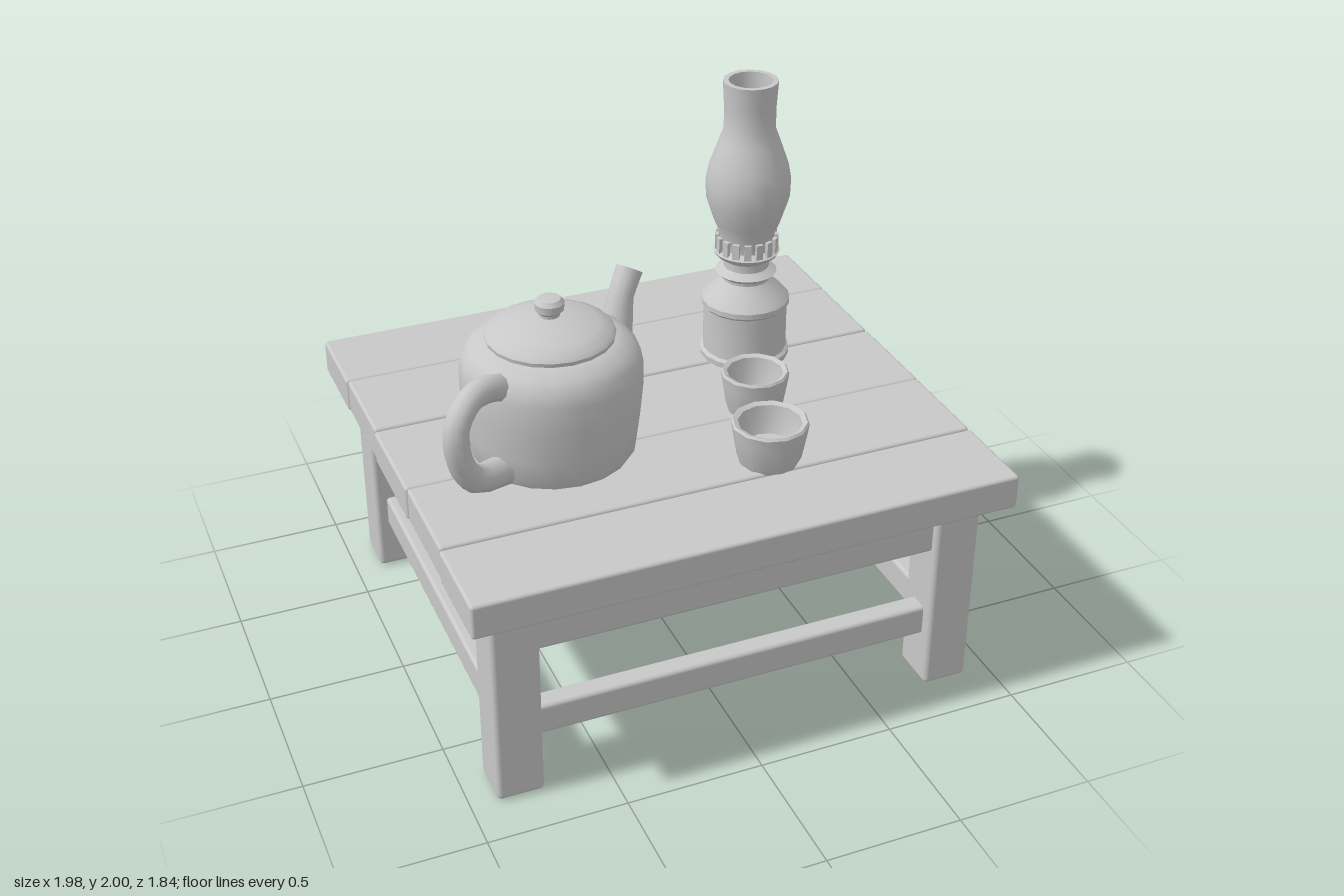
import * as THREE from 'three';
import { toCreasedNormals } from 'three/addons/utils/BufferGeometryUtils.js';
import { RoundedBoxGeometry } from 'three/addons/geometries/RoundedBoxGeometry.js';

export function createModel() {
  const model = new THREE.Group();
  const clay = new THREE.MeshStandardMaterial({ color: 0xc8c8c8 });
  clay.name = 'plain grey';

  const add = (parent, name, geometry, x = 0, y = 0, z = 0) => {
    const mesh = new THREE.Mesh(geometry, clay);
    mesh.name = name;
    mesh.position.set(x, y, z);
    parent.add(mesh);
    return mesh;
  };
  const group = (name, x, y, z) => {
    const g = new THREE.Group();
    g.name = name;
    g.position.set(x, y, z);
    model.add(g);
    return g;
  };
  const box = (w, h, d, r = 0.015) => new RoundedBoxGeometry(w, h, d, 2, r);
  const lathe = (profile, sides) => toCreasedNormals(
    new THREE.LatheGeometry(profile.map(([r, y]) => new THREE.Vector2(r, y)), sides), 0.6);

  // Tapered tube in a vertical plane: stations are [distance, height, radius].
  // With a lip, the far end folds back inside to make an opening.
  function sweep(stations, angle, lip, sides = 10) {
    const curve = new THREE.CatmullRomCurve3(stations.map(([d, y]) => new THREE.Vector3(d, y, 0)));
    const steps = (stations.length - 1) * 3;
    const rings = [];
    for (let i = 0; i <= steps; i++) {
      const t = i / steps, k = t * (stations.length - 1), a = Math.min(Math.floor(k), stations.length - 2);
      const r = THREE.MathUtils.lerp(stations[a][2], stations[a + 1][2], k - a);
      rings.push([curve.getPoint(t), curve.getTangent(t), r]);
    }
    const [p, tan, r] = rings[steps];
    if (lip) {
      const deep = p.clone().addScaledVector(tan, -0.06);
      rings.push([p, tan, r * 0.65], [deep, tan, r * 0.6], [deep, tan, 0]);
    }
    const pos = [], index = [];
    rings.forEach(([c, t, rad], i) => {
      for (let j = 0; j < sides; j++) {
        const u = (j / sides) * Math.PI * 2, n = Math.cos(u) * rad;
        pos.push(c.x - t.y * n, c.y + t.x * n, Math.sin(u) * rad);
        if (i === 0) continue;
        const b = i * sides + j, b2 = i * sides + (j + 1) % sides;
        index.push(b - sides, b2 - sides, b, b2 - sides, b2, b);
      }
    });
    const g = new THREE.BufferGeometry();
    g.setAttribute('position', new THREE.Float32BufferAttribute(pos, 3));
    g.setIndex(index);
    g.rotateY(angle);
    return toCreasedNormals(g, 0.75);
  }

  // Table top: five planks
  const table = group('table', 0, 0, 0);
  const seams = [-0.925, -0.59, -0.21, 0.195, 0.58, 0.92];
  for (let i = 0; i < 5; i++) {
    const z0 = seams[i], z1 = seams[i + 1];
    add(table, 'plank' + (i + 1), box(1.98 - (i % 2) * 0.008, 0.13, z1 - z0 - 0.002, 0.012),
      0, 0.838 + (i % 2) * 0.003, (z0 + z1) / 2);
  }

  // Legs, aprons and stretchers
  for (const s of [-1, 1]) {
    for (const q of [-1, 1]) add(table, 'leg', box(0.17, 0.78, 0.18, 0.018), s * 0.82, 0.39, q * 0.738);
    add(table, 'longApron', box(1.52, 0.22, 0.1), 0, 0.685, s * 0.75);
    add(table, 'sideApron', box(0.1, 0.22, 1.36), s * 0.83, 0.685, 0);
    add(table, 'longStretcher', box(1.52, 0.12, 0.08), 0, 0.26, s * 0.74);
    add(table, 'sideStretcher', box(0.08, 0.125, 1.36), s * 0.82, 0.25, 0);
  }

  // Teapot
  const pot = group('teapot', -0.43, 0.9, 0.13);
  add(pot, 'potBody', lathe([[0, 0], [0.275, 0], [0.293, 0.03], [0.305, 0.12], [0.317, 0.24],
    [0.318, 0.34], [0.308, 0.39], [0.28, 0.425], [0.235, 0.45], [0, 0.46]], 20));
  add(pot, 'potLid', lathe([[0.222, 0.44], [0.226, 0.465], [0.215, 0.48], [0.17, 0.5],
    [0.1, 0.52], [0.035, 0.53], [0, 0.53]], 20));
  add(pot, 'lidKnob', lathe([[0.035, 0.52], [0.036, 0.54], [0.05, 0.553], [0.052, 0.58],
    [0.04, 0.595], [0, 0.6]], 14));
  add(pot, 'spout', sweep([[0.26, 0.2, 0.09], [0.35, 0.225, 0.083], [0.4, 0.32, 0.06],
    [0.43, 0.42, 0.047], [0.485, 0.5, 0.05]], 0.6, true));
  add(pot, 'potHandle', sweep([[0.26, 0.37, 0.05], [0.34, 0.405, 0.047], [0.43, 0.41, 0.045],
    [0.51, 0.34, 0.046], [0.5, 0.2, 0.045], [0.43, 0.1, 0.05], [0.27, 0.055, 0.055]], 0.58 + Math.PI, false));

  // Two cups
  for (const [name, x, z, r] of [['frontCup', 0.237, 0.49, 0.137], ['rearCup', 0.335, 0.155, 0.124]]) {
    const cup = group(name, x, 0.9, z);
    add(cup, 'cupBowl', lathe([[0, 0], [r * 0.76, 0], [r * 0.83, 0.02], [r * 0.96, 0.12], [r, 0.155],
      [r * 0.95, 0.163], [r * 0.82, 0.155], [r * 0.77, 0.08], [r * 0.68, 0.05], [0, 0.05]], 12));
  }

  // Oil lamp
  const lamp = group('oilLamp', 0.48, 0.9, -0.25);
  add(lamp, 'lampBase', lathe([[0, 0], [0.168, 0], [0.17, 0.025], [0.158, 0.035], [0.157, 0.21],
    [0.166, 0.22], [0.166, 0.24], [0.15, 0.26], [0.105, 0.3], [0.088, 0.32], [0, 0.32]], 18));
  add(lamp, 'burner', lathe([[0.088, 0.3], [0.09, 0.33], [0.115, 0.35], [0.085, 0.37], [0.085, 0.4],
    [0.115, 0.42], [0.124, 0.435], [0.1, 0.45], [0, 0.45]], 18));
  add(lamp, 'chimney', lathe([[0.095, 0.44], [0.1, 0.5], [0.125, 0.56], [0.154, 0.65], [0.156, 0.72],
    [0.145, 0.78], [0.113, 0.87], [0.094, 0.92], [0.094, 1], [0.1, 1.1], [0.08, 1.1], [0.076, 1],
    [0.077, 0.92], [0.13, 0.76], [0.13, 0.66], [0.08, 0.5], [0, 0.5]], 16));

  // Gallery prongs holding the glass
  for (let i = 0; i < 16; i++) {
    const a = (i / 16) * Math.PI * 2;
    const prong = add(lamp, 'prong', new THREE.BoxGeometry(0.026, 0.065, 0.014),
      Math.sin(a) * 0.11, 0.465, Math.cos(a) * 0.11);
    prong.rotation.y = a;
  }

  // Wick knob on its short shaft
  const knob = new THREE.Group();
  knob.name = 'wickKnob';
  knob.position.y = 0.385;
  knob.rotation.y = 0.6;
  lamp.add(knob);
  add(knob, 'shaft', new THREE.CylinderGeometry(0.014, 0.014, 0.08, 8).rotateZ(Math.PI / 2), 0.11);
  add(knob, 'wheel', toCreasedNormals(
    new THREE.CylinderGeometry(0.038, 0.038, 0.03, 12).rotateZ(Math.PI / 2), 0.6), 0.14);

  return model;
}
